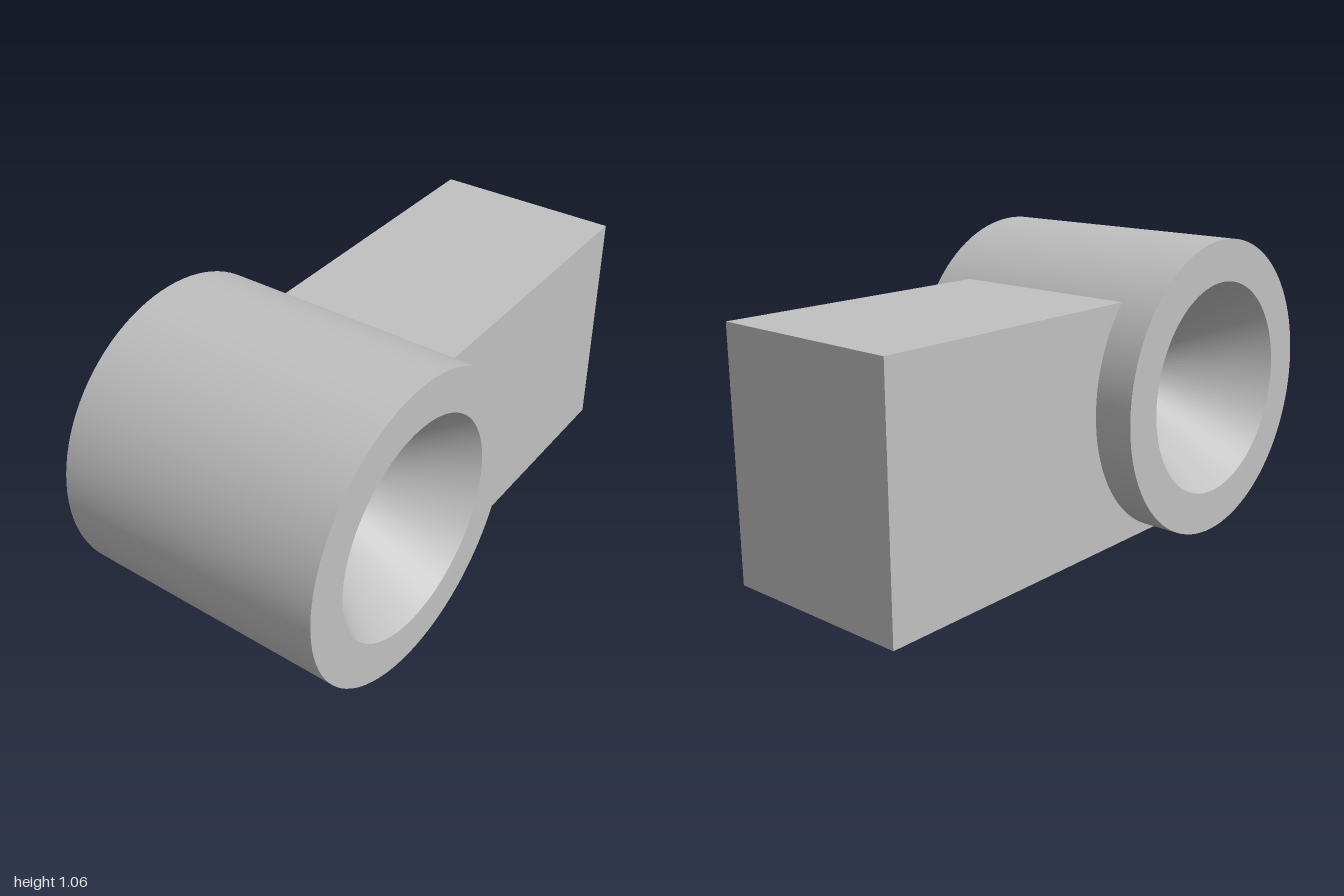
import * as THREE from 'three';
import { mergeGeometries } from 'three/addons/utils/BufferGeometryUtils.js';

// Lathe with a sharp edge at every profile point
function sharpLathe(profile, segments) {
  const bands = [];
  for (let i = 0; i < profile.length - 1; i++) {
    const pair = [profile[i], profile[i + 1]].map(([r, h]) => new THREE.Vector2(r, h));
    bands.push(new THREE.LatheGeometry(pair, segments));
  }
  return mergeGeometries(bands);
}

export function createModel() {
  const model = new THREE.Group();
  const grey = new THREE.MeshStandardMaterial({ color: 0xc0c0c0 });
  grey.name = 'grey';

  // Cross cylinder with a conical recess in each end and a thin web between them
  const radius = 0.532, half = 0.484, rim = 0.383, tip = 0.05, web = 0.03;
  const barrel = new THREE.Mesh(sharpLathe([
    [0, -web], [tip, -web], [rim, -half], [radius, -half],
    [radius, half], [rim, half], [tip, web], [0, web],
  ], 96), grey);
  barrel.name = 'barrel';
  barrel.rotation.z = -Math.PI / 2;
  barrel.position.set(0, radius, 0.47);
  model.add(barrel);

  // Slightly tapered block, its front end buried in the barrel wall
  const width = 0.69;
  const side = [[-1, 0.04], [0.33, 0.024], [0, 0.5], [0.08, 0.886], [-1, 0.9]];
  const shape = new THREE.Shape(side.map(([z, y]) => new THREE.Vector2(-z, y)));
  const blockGeometry = new THREE.ExtrudeGeometry(shape, { depth: width, bevelEnabled: false });
  blockGeometry.translate(0, 0, -width / 2);
  blockGeometry.rotateY(Math.PI / 2);
  const block = new THREE.Mesh(blockGeometry, grey);
  block.name = 'block';
  model.add(block);

  return model;
}
